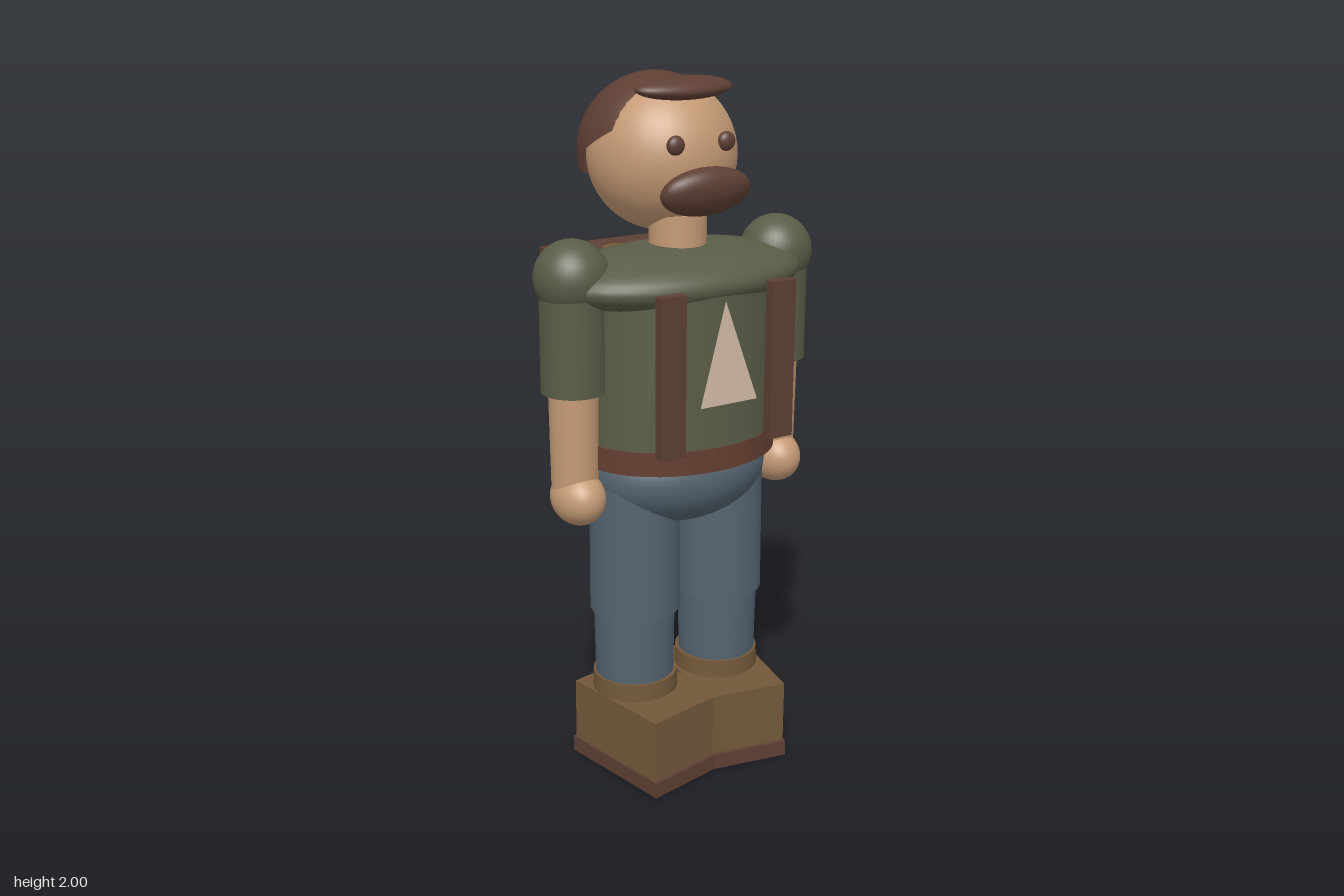
import * as THREE from 'three';

const paint = (name, color) => {
  const m = new THREE.MeshStandardMaterial({ color });
  m.name = name;
  return m;
};

export function createModel() {
  const root = new THREE.Group();
  root.name = 'hiker';

  const skin = paint('skin', 0xc49a75);
  const brown = paint('darkBrown', 0x5e3f34);
  const leather = paint('beltLeather', 0x653f31);
  const shirt = paint('shirtGreen', 0x5a5d47);
  const denim = paint('denim', 0x55636f);
  const boot = paint('bootTan', 0x72583a);
  const canvas = paint('packCanvas', 0x735733);
  const cream = paint('cream', 0xcdb7a4);

  const add = (name, geo, mat, x, y, z, parent = root) => {
    const m = new THREE.Mesh(geo, mat);
    m.name = name;
    m.position.set(x, y, z);
    parent.add(m);
    return m;
  };
  const ball = (rx, ry, rz) => new THREE.SphereGeometry(1, 40, 24).scale(rx, ry, rz);
  const tube = (rTop, rBottom, h, zScale = 1) =>
    new THREE.CylinderGeometry(rTop, rBottom, h, 40).scale(1, 1, zScale);
  const box = (w, h, d) => new THREE.BoxGeometry(w, h, d);

  // Head, tilted cap of hair and face
  add('head', ball(0.208, 0.21, 0.21), skin, 0, 1.78, 0.042);
  const hairGeo = new THREE.SphereGeometry(0.218, 48, 20, 0, Math.PI * 2, 0, Math.PI * 0.47);
  const hairMat = brown.clone();
  hairMat.name = 'hairBrown';
  hairMat.side = THREE.DoubleSide;
  add('hair', hairGeo, hairMat, 0, 1.782, 0.008).rotation.x = -0.56;
  add('quiff', ball(0.15, 0.03, 0.062), brown, 0, 1.967, 0.152).rotation.x = 0.15;
  add('moustache', ball(0.138, 0.073, 0.052), brown, 0, 1.706, 0.262).rotation.x = 0.55;
  add('neck', tube(0.08, 0.08, 0.14), skin, 0, 1.56, 0.125);

  // Torso
  add('torso', tube(0.285, 0.292, 0.44, 0.78), shirt, 0, 1.22, 0.128);
  add('shoulderYoke', ball(0.385, 0.09, 0.23), shirt, 0, 1.46, 0.127);
  add('belt', tube(0.296, 0.296, 0.068, 0.78), leather, 0, 0.984, 0.128);
  add('hips', ball(0.27, 0.16, 0.2), denim, 0, 0.903, 0.13);

  // Three-sided shirt emblem
  const emblem = new THREE.ConeGeometry(0.106, 0.28, 3).toNonIndexed();
  emblem.rotateY(Math.PI).scale(1, 1, 0.41);
  emblem.computeVertexNormals();
  add('shirtEmblem', emblem, cream, 0, 1.29, 0.364);

  // Paired parts
  for (const [side, s] of [['left', 1], ['right', -1]]) {
    const limb = (part, geo, mat, x, y, z) => add(side + part, geo, mat, s * x, y, z);

    limb('Eye', ball(0.026, 0.026, 0.018), brown, 0.08, 1.83, 0.238);
    limb('Strap', box(0.076, 0.445, 0.032), brown, 0.176, 1.245, 0.37);

    limb('Shoulder', ball(0.104, 0.104, 0.104), shirt, 0.334, 1.487, 0.125);
    limb('Sleeve', tube(0.09, 0.09, 0.31), shirt, 0.334, 1.328, 0.127);
    limb('Forearm', tube(0.07, 0.066, 0.3), skin, 0.334, 1.04, 0.126);
    limb('Hand', ball(0.073, 0.078, 0.093), skin, 0.334, 0.868, 0.14);

    limb('UpperLeg', tube(0.128, 0.13, 0.39), denim, 0.144, 0.685, 0.128);
    limb('LowerLeg', tube(0.118, 0.114, 0.24), denim, 0.145, 0.38, 0.127);
    limb('BootCuff', tube(0.123, 0.126, 0.065), boot, 0.143, 0.254, 0.127);

    // Toes point inwards
    limb('Boot', box(0.26, 0.19, 0.35), boot, 0.13, 0.14, 0.176).rotation.y = -s * 0.19;
    limb('Sole', box(0.27, 0.047, 0.367), brown, 0.13, 0.0235, 0.176).rotation.y = -s * 0.19;
  }

  // Backpack
  add('pack', ball(0.218, 0.274, 0.128), canvas, 0, 1.207, -0.212);
  add('packPocket', ball(0.133, 0.103, 0.07), canvas, 0, 1.13, -0.316);
  add('packLid', box(0.396, 0.075, 0.25), brown, 0, 1.437, -0.192);

  return root;
}
